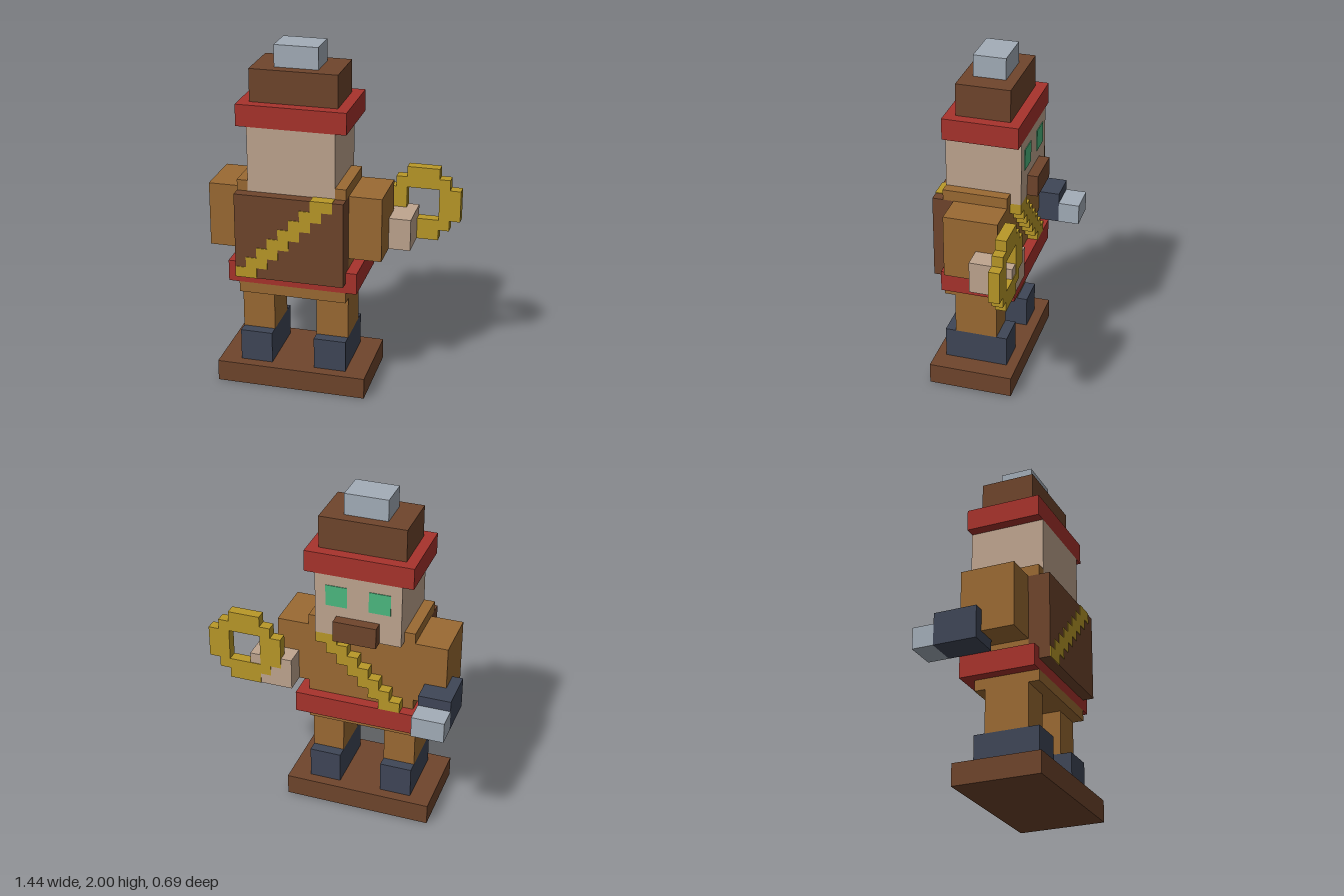
import * as THREE from 'three';

const U = 0.0625; // one block unit
const X0 = 11.5, Z0 = 5.5; // block coordinates of the model's centre

const paint = (name, color) => {
  const m = new THREE.MeshStandardMaterial({ color });
  m.name = name;
  return m;
};

export function createModel() {
  const model = new THREE.Group();
  model.name = 'blockFigure';

  const darkBrown = paint('dark brown', 0x6f452c);
  const tan = paint('tan leather', 0x9b6a33);
  const red = paint('red cloth', 0xa8332c);
  const skin = paint('skin', 0xbfa58f);
  const silver = paint('silver', 0xa3adb8);
  const navy = paint('slate blue', 0x3f4657);
  const gold = paint('gold', 0xb99828);
  const green = paint('eye green', 0x4cb880);

  const add = (name, geometry, material) => {
    const mesh = new THREE.Mesh(geometry, material);
    mesh.name = name;
    model.add(mesh);
    return mesh;
  };

  // Box between two corners, in block units
  const block = (name, material, [x0, x1], [y0, y1], [z0, z1]) => {
    const g = new THREE.BoxGeometry((x1 - x0) * U, (y1 - y0) * U, (z1 - z0) * U);
    add(name, g, material).position.set(
      ((x0 + x1) / 2 - X0) * U, ((y0 + y1) / 2) * U, ((z0 + z1) / 2 - Z0) * U);
  };

  // Flat outline in block units, extruded along z
  const slab = (name, material, points, [z0, z1], hole) => {
    const toVec = ([x, y]) => new THREE.Vector2((x - X0) * U, y * U);
    const shape = new THREE.Shape(points.map(toVec));
    if (hole) shape.holes.push(new THREE.Path(hole.map(toVec)));
    const g = new THREE.ExtrudeGeometry(shape, { depth: (z1 - z0) * U, bevelEnabled: false });
    g.translate(0, 0, (z0 - Z0) * U);
    add(name, g, material);
  };

  // Stand
  block('base', darkBrown, [2, 16], [0, 2], [3, 11]);

  // Boots and legs
  for (const [side, x] of [['right', 4], ['left', 11]]) {
    block(side + 'Boot', navy, [x, x + 3], [2, 5], [4, 10]);
    block(side + 'Leg', tan, [x, x + 3], [5, 9], [5, 9]);
  }

  // Body
  block('hips', tan, [4, 14], [9, 10], [4, 10]);
  block('belt', red, [3, 15], [10, 12], [3, 10]);
  block('torso', tan, [4, 14], [12, 19], [4, 9]);
  block('backPanel', darkBrown, [4, 14], [11, 19], [9, 11]);
  block('rightCollar', tan, [4, 5], [19, 20], [4, 10]);
  block('leftCollar', tan, [13, 14], [19, 20], [4, 10]);

  // Stepped diagonal strap outline from row a up to row b
  const strap = (a, b) => {
    const rightEdge = [], leftEdge = [];
    for (let r = a; r < b; r++) {
      rightEdge.push([r - 5, r], [r - 5, r + 1]);
      leftEdge.unshift([r - 7, r + 1], [r - 7, r]);
    }
    return [...rightEdge, ...leftEdge];
  };
  slab('chestStrap', gold, strap(12, 19), [3, 4]);
  slab('panelStrap', gold, strap(11, 19), [10.96, 11.06]);
  block('panelStrapTop', gold, [11, 13], [18.95, 19.05], [10, 11.06]);

  // Arms
  block('rightArm', tan, [1, 4], [13, 19], [4, 9]);
  block('leftArm', tan, [14, 17], [13, 19], [4, 9]);

  // Right hand: gauntlet with a metal tip
  block('gauntlet', navy, [0, 3], [12, 15], [2, 6]);
  block('gauntletTip', silver, [0, 3], [12, 14], [0, 2]);

  // Left hand holding a ring
  block('leftHand', skin, [15, 19], [13, 16], [2.06, 6]);
  const ring = [
    [2, 0], [5, 0], [5, 1], [6, 1], [6, 2], [7, 2], [7, 5], [6, 5], [6, 6], [5, 6],
    [5, 7], [2, 7], [2, 6], [1, 6], [1, 5], [0, 5], [0, 2], [1, 2], [1, 1], [2, 1],
  ];
  const ringHole = [[2, 2], [2, 5], [5, 5], [5, 2]];
  const atHand = ([x, y]) => [x + 16, y + 13];
  slab('ring', gold, ring.map(atHand), [2, 3], ringHole.map(atHand));

  // Head and face
  block('head', skin, [5, 13], [19, 25], [3, 10]);
  block('moustache', darkBrown, [7, 11], [19, 21], [2, 3]);
  block('rightEye', green, [6, 8], [22, 24], [2.94, 3.04]);
  block('leftEye', green, [10, 12], [22, 24], [2.94, 3.04]);

  // Hat
  block('hatBrim', red, [4, 14], [25, 27], [3, 10]);
  block('hatCrown', darkBrown, [5, 13], [27, 30], [4, 9]);
  block('hatTop', silver, [7, 11], [30, 32], [5, 8]);

  return model;
}
